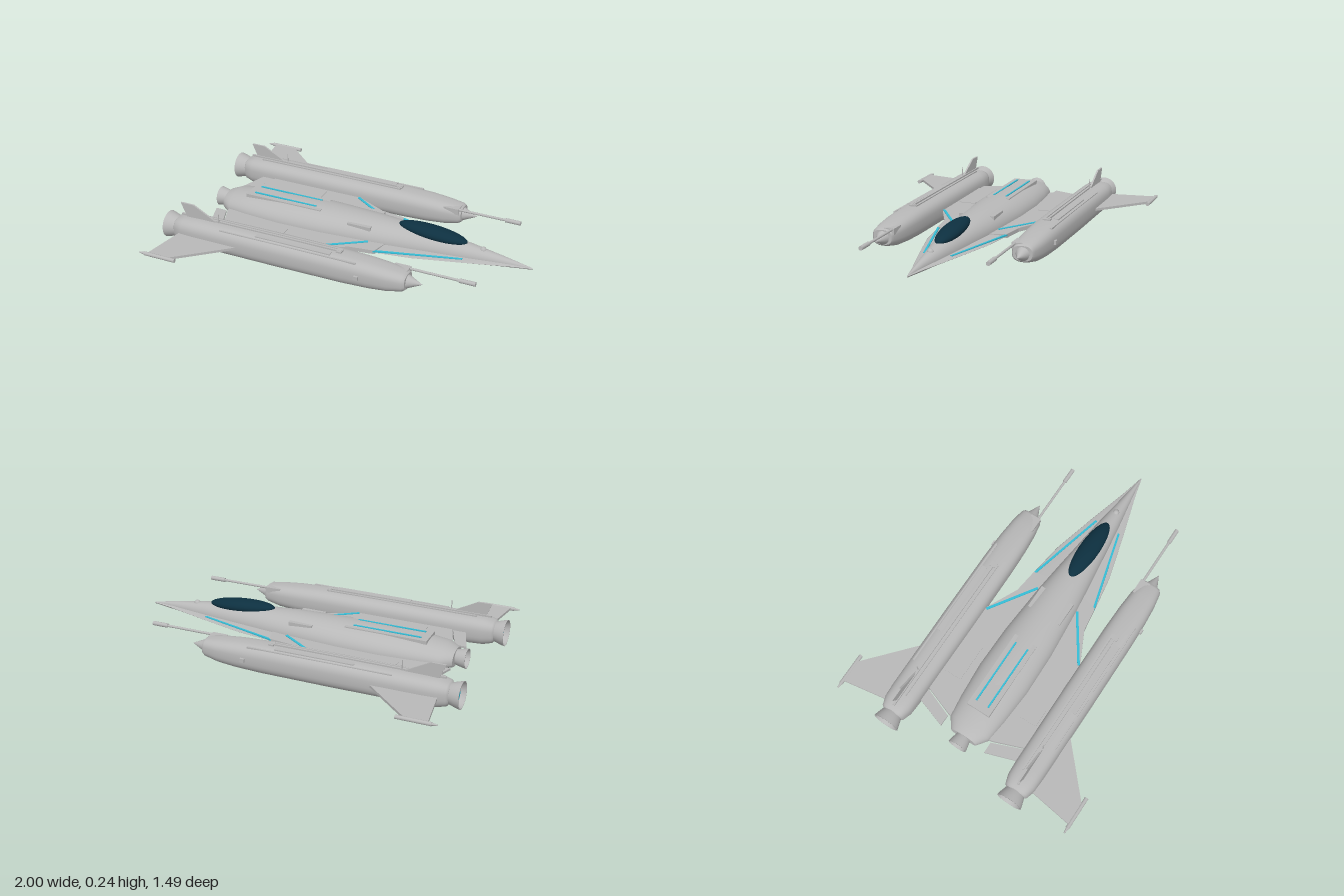
import * as THREE from 'three';

const hull = new THREE.MeshStandardMaterial({ name: 'hull grey', color: 0xb8b8b8, side: THREE.DoubleSide });
const glass = new THREE.MeshStandardMaterial({ name: 'dark canopy', color: 0x0d3040 });
const glow = new THREE.MeshStandardMaterial({ name: 'cyan glow', color: 0x35bdd6 });

function add(parent, name, geometry, material = hull, x = 0, y = 0, z = 0) {
  const mesh = new THREE.Mesh(geometry, material);
  mesh.name = name;
  mesh.position.set(x, y, z);
  parent.add(mesh);
  return mesh;
}

// Closed body along x; stations are [x, halfWidth, bottom, middle, top]
function loft(stations, nTop, nBottom, sides = 40) {
  const pos = [], index = [];
  const ring = ([x, w, lo, mid, hi]) => {
    for (let j = 0; j < sides; j++) {
      const t = (j / sides) * Math.PI * 2, c = Math.cos(t), s = Math.sin(t);
      const n = s >= 0 ? nTop : nBottom, h = s >= 0 ? hi - mid : mid - lo;
      pos.push(x, mid + h * Math.sign(s) * Math.abs(s) ** (2 / n), w * Math.sign(c) * Math.abs(c) ** (2 / n));
    }
  };
  stations.forEach(ring);
  for (let i = 0; i < stations.length - 1; i++) {
    for (let j = 0; j < sides; j++) {
      const k = (j + 1) % sides, a = i * sides + j, b = i * sides + k;
      index.push(a, a + sides, b, b, a + sides, b + sides);
    }
  }
  // End caps with their own vertices
  [stations[0], stations[stations.length - 1]].forEach((s, e) => {
    const base = pos.length / 3;
    ring(s);
    pos.push(s[0], s[3], 0);
    for (let j = 0; j < sides; j++) {
      const k = (j + 1) % sides;
      index.push(base + sides, base + (e ? k : j), base + (e ? j : k));
    }
  });
  const g = new THREE.BufferGeometry();
  g.setAttribute('position', new THREE.Float32BufferAttribute(pos, 3));
  g.setIndex(index);
  g.computeVertexNormals();
  return g;
}

// Plate from an outline; vertical plates use [x, y], flat ones [x, z]
function plate(points, depth, flat = true) {
  const shape = new THREE.Shape(points.map(([a, b]) => new THREE.Vector2(a, b)));
  const g = new THREE.ExtrudeGeometry(shape, { depth, bevelEnabled: false });
  g.translate(0, 0, -depth / 2);
  return flat ? g.rotateX(Math.PI / 2) : g;
}

// Cylinder or cone lying along x from x0 to x1
function rod(x0, x1, r0, r1, sides = 20) {
  return new THREE.CylinderGeometry(r1, r0, x1 - x0, sides).rotateZ(-Math.PI / 2).translate((x0 + x1) / 2, 0, 0);
}

// Thin bar between two [x, z] points
function bar([x0, z0], [x1, z1], width, height) {
  const dx = x1 - x0, dz = z1 - z0;
  return new THREE.BoxGeometry(Math.hypot(dx, dz), height, width)
    .rotateY(Math.atan2(-dz, dx)).translate((x0 + x1) / 2, 0, (z0 + z1) / 2);
}

// Flared engine bell with a glowing disc inside
function engine(parent, x, length, r, y) {
  const profile = [[r, 0], [r * 0.9, length * 0.4], [r * 0.72, length], [r * 0.68, length],
    [r * 0.82, length * 0.4], [r * 0.92, 0], [r, 0]];
  const bell = new THREE.LatheGeometry(profile.map(([a, b]) => new THREE.Vector2(a, b)), 28).rotateZ(-Math.PI / 2);
  add(parent, 'engineBell', bell, hull, x, y);
  add(parent, 'engineGlow', rod(0, 0.008, r * 0.82, r * 0.82, 28), glow, x + length * 0.42, y);
}

function createNacelle(s) {
  const g = new THREE.Group();
  g.name = s > 0 ? 'leftNacelle' : 'rightNacelle';
  g.position.z = 0.4 * s;
  add(g, 'nacelleBody', loft([
    [-0.94, 0.055, 0.035, 0.09, 0.14], [-0.93, 0.068, 0.025, 0.09, 0.152], [-0.88, 0.084, 0.012, 0.09, 0.165],
    [-0.8, 0.088, 0.008, 0.09, 0.168], [-0.3, 0.09, 0.006, 0.09, 0.17], [0.1, 0.089, 0.008, 0.09, 0.168],
    [0.25, 0.085, 0.013, 0.09, 0.162], [0.36, 0.077, 0.022, 0.09, 0.152], [0.44, 0.064, 0.04, 0.09, 0.142],
    [0.455, 0.054, 0.05, 0.09, 0.132]], 2.7, 2.7));
  add(g, 'noseSpike', rod(0.45, 0.535, 0.04, 0.001, 24), hull, 0, 0.088);
  engine(g, -1, 0.07, 0.075, 0.088);

  // Raised rails and ports
  add(g, 'topSpine', new THREE.BoxGeometry(0.98, 0.01, 0.012), hull, -0.42, 0.172, 0);
  add(g, 'innerRail', new THREE.BoxGeometry(0.9, 0.01, 0.01), hull, -0.38, 0.169, -0.022 * s);
  add(g, 'outerRail', new THREE.BoxGeometry(0.82, 0.012, 0.012), hull, -0.23, 0.154, 0.058 * s);
  add(g, 'outerPanel', new THREE.BoxGeometry(0.45, 0.012, 0.03), hull, -0.2, 0.163, 0.035 * s);
  add(g, 'spineCap', new THREE.BoxGeometry(0.03, 0.014, 0.035), hull, 0.06, 0.169, 0);
  add(g, 'sidePort', new THREE.BoxGeometry(0.026, 0.022, 0.02), hull, 0.195, 0.09, 0.088 * s);

  // Gun along the inner front edge
  add(g, 'gunMount', new THREE.BoxGeometry(0.09, 0.035, 0.06), hull, 0.4, 0.125, -0.035 * s);
  add(g, 'gunBarrel', rod(0.42, 0.74, 0.007, 0.007, 12), hull, 0, 0.135, -0.05 * s);
  add(g, 'gunMuzzle', rod(0.72, 0.81, 0.012, 0.012, 12), hull, 0, 0.135, -0.05 * s);

  // Upright fin, aerial and side fin with its tip rail
  add(g, 'uprightFin', plate([[-0.87, 0.155], [-0.91, 0.245], [-0.83, 0.245], [-0.67, 0.16]], 0.01, false), hull, 0, 0, 0.005 * s);
  add(g, 'aerial', new THREE.CylinderGeometry(0.002, 0.004, 0.065, 8), hull, -0.675, 0.195, 0.005 * s);
  const fin = [[-0.89, 0.07], [-0.93, 0.33], [-0.8, 0.33], [-0.51, 0.07]].map(([x, z]) => [x, z * s]);
  add(g, 'sideFin', plate(fin, 0.014), hull, 0, 0.085);
  add(g, 'tipRail', rod(-0.95, -0.76, 0.011, 0.011, 14), hull, 0, 0.085, 0.336 * s);
  add(g, 'tipTail', rod(-0.98, -0.95, 0.004, 0.008, 10), hull, 0, 0.085, 0.336 * s);
  return g;
}

function createWing(s) {
  const g = new THREE.Group();
  g.name = s > 0 ? 'leftWing' : 'rightWing';
  const m = (pts) => pts.map(([x, z]) => [x, z * s]);
  add(g, 'wingPlate', plate(m([[-0.78, 0.08], [-0.775, 0.14], [-0.705, 0.33], [-0.18, 0.33], [-0.15, 0.31],
    [0.03, 0.222], [0.17, 0.203], [0.2, 0.08]]), 0.022), hull, 0, 0.085);
  add(g, 'flap', plate(m([[-0.85, 0.14], [-0.79, 0.32], [-0.715, 0.32], [-0.785, 0.14]]), 0.012), hull, 0, 0.085);
  add(g, 'wingPanel', new THREE.BoxGeometry(0.22, 0.004, 0.1), hull, -0.47, 0.097, 0.245 * s);
  add(g, 'wingGlowStrip', bar([-0.16, 0.305 * s], [0.1, 0.13 * s], 0.014, 0.008), glow, 0, 0.096);
  add(g, 'chineGlowStrip', bar([0.16, 0.2 * s], [0.63, 0.075 * s], 0.012, 0.009), glow, 0, 0.089);
  add(g, 'shoulderVent', new THREE.BoxGeometry(0.14, 0.03, 0.028), hull, 0.03, 0.152, 0.09 * s);
  add(g, 'deckGlowLine', new THREE.BoxGeometry(0.39, 0.009, 0.009), glow, -0.455, 0.186, 0.038 * s);
  return g;
}

export function createModel() {
  const ship = new THREE.Group();
  ship.name = 'starfighter';

  // Central fuselage and the flat-edged nose skirt
  add(ship, 'fuselage', loft([
    [-0.84, 0.08, 0.05, 0.09, 0.14], [-0.78, 0.125, 0.042, 0.088, 0.162], [-0.65, 0.141, 0.034, 0.086, 0.178],
    [-0.45, 0.155, 0.03, 0.085, 0.189], [-0.2, 0.15, 0.028, 0.085, 0.19], [0.1, 0.126, 0.03, 0.085, 0.187],
    [0.3, 0.102, 0.036, 0.085, 0.177], [0.5, 0.077, 0.046, 0.085, 0.162], [0.65, 0.057, 0.054, 0.085, 0.147],
    [0.85, 0.025, 0.066, 0.084, 0.116], [1, 0.002, 0.08, 0.084, 0.088]], 2.1, 2.8, 48));
  add(ship, 'noseSkirt', loft([
    [0.0, 0.215, 0.072, 0.085, 0.097], [0.17, 0.205, 0.068, 0.085, 0.097], [0.37, 0.175, 0.062, 0.085, 0.097],
    [0.63, 0.105, 0.062, 0.085, 0.097], [0.88, 0.032, 0.065, 0.085, 0.096], [1, 0.003, 0.078, 0.084, 0.089]], 1.3, 1.3));
  engine(ship, -0.9, 0.07, 0.055, 0.092);

  // Canopy, sensor dome and rear deck
  const canopy = add(ship, 'canopy', new THREE.SphereGeometry(1, 40, 24), glass, 0.43, 0.167, 0);
  canopy.scale.set(0.2, 0.037, 0.057);
  canopy.rotation.z = -0.08;
  add(ship, 'sensorDome', new THREE.SphereGeometry(0.018, 20, 12), hull, 0.72, 0.13);
  add(ship, 'rearDeck', new THREE.BoxGeometry(0.47, 0.02, 0.14), hull, -0.455, 0.175);

  for (const s of [1, -1]) ship.add(createNacelle(s), createWing(s));
  return ship;
}
